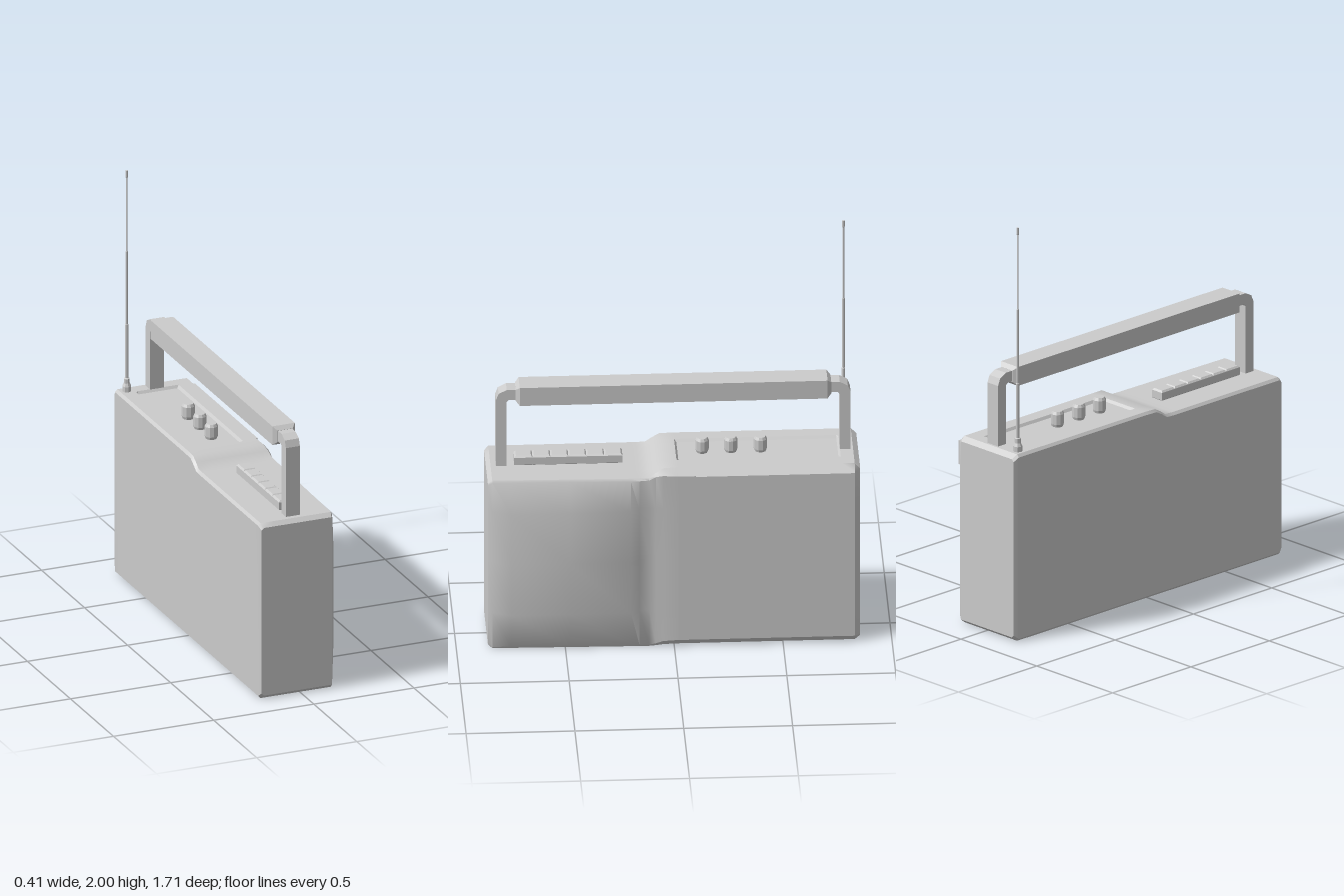
import * as THREE from 'three';
import { toCreasedNormals } from 'three/addons/utils/BufferGeometryUtils.js';

const material = new THREE.MeshStandardMaterial({ color: 0xcccccc });
const flat = new THREE.MeshStandardMaterial({ color: 0xcccccc, flatShading: true });

function add(parent, name, geometry, mat = flat) {
  const mesh = new THREE.Mesh(geometry, mat);
  mesh.name = name;
  parent.add(mesh);
  return mesh;
}

// Skin closed rings of equal length, listed from back to front, and cap both ends
function loft(rings) {
  const pos = [], index = [], n = rings[0].length;
  rings.forEach(r => r.forEach(p => pos.push(...p)));
  for (let i = 0; i < rings.length - 1; i++) {
    for (let j = 0; j < n; j++) {
      const a = i * n + j, b = i * n + (j + 1) % n;
      index.push(a, b, b + n, a, b + n, a + n);
    }
  }
  [0, rings.length - 1].forEach((i, end) => {
    const centre = pos.length / 3;
    const r = rings[i];
    pos.push(...[0, 1, 2].map(k => r.reduce((s, p) => s + p[k], 0) / n));
    for (let j = 0; j < n; j++) {
      const a = i * n + j, b = i * n + (j + 1) % n;
      if (end) index.push(centre, a, b); else index.push(centre, b, a);
    }
  });
  const g = new THREE.BufferGeometry();
  g.setAttribute('position', new THREE.Float32BufferAttribute(pos, 3));
  g.setIndex(index);
  return g;
}

// Case cross-section: e insets the outline, xe/xa/xb are the edge, shoulder
// and middle of the speaker side, d is the depth of the control tray
function caseRing([z, top, xe, xa, xb, c, e = 0, d = 0]) {
  const b = -0.207 + e * 0.5, t = top - e;
  return [
    [b, e + 0.012, z], [b + 0.012, e, z], [xe, e, z],
    [xa, e + c, z], [xb, 0.19, z], [xb, 0.45, z], [xb, 0.71, z], [xa, t - c, z],
    [xe, t, z], [0.085, t, z], [0.075, t - d, z], [-0.12, t - d, z], [-0.13, t, z],
    [b + 0.012, t, z], [b, t - 0.012, z],
  ];
}

// Box whose ends taper in along z
function taperedBar(x, y, w, h, z0, z1, bevel) {
  const ring = (z, s) => [[-1, -1], [1, -1], [1, 1], [-1, 1]]
    .map(([u, v]) => [x + u * (w / 2 - s), y + v * (h / 2 - s), z]);
  return loft([ring(z0, bevel), ring(z0 + bevel, 0), ring(z1 - bevel, 0), ring(z1, bevel)]);
}

export function createModel() {
  const radio = new THREE.Group();
  radio.name = 'portableRadio';

  // Case with sunken control tray and pillowed speaker
  const sections = [
    [-0.855, 0.91, 0.15, 0.152, 0.152, 0.01, 0.02],
    [-0.83, 0.91, 0.152, 0.183, 0.183, 0.033],
    [-0.77, 0.91, 0.152, 0.183, 0.183, 0.033],
    [-0.76, 0.91, 0.152, 0.183, 0.183, 0.033, 0, 0.012],
    [-0.025, 0.91, 0.152, 0.183, 0.183, 0.033, 0, 0.012],
    [-0.015, 0.91, 0.152, 0.183, 0.183, 0.033],
    [0.05, 0.908, 0.156, 0.18, 0.179, 0.028],
    [0.085, 0.888, 0.165, 0.176, 0.173, 0.015],
    [0.115, 0.867, 0.17, 0.176, 0.172, 0.01],
    [0.16, 0.865, 0.17, 0.178, 0.182, 0.01],
    [0.2, 0.865, 0.169, 0.176, 0.204, 0.01],
    [0.48, 0.865, 0.163, 0.17, 0.205, 0.01],
    [0.75, 0.865, 0.157, 0.164, 0.204, 0.01],
    [0.835, 0.865, 0.155, 0.162, 0.168, 0.01],
    [0.855, 0.865, 0.15, 0.152, 0.154, 0.008, 0.018],
  ];
  add(radio, 'case', toCreasedNormals(loft(sections.map(caseRing)), 0.6), material);

  // Tuning dial strip along the upper side
  const dial = add(radio, 'tuningDial', new THREE.BoxGeometry(0.02, 0.115, 0.73));
  dial.position.set(0.182, 0.82, -0.465);

  // Carrying handle: two bent arms and a grip
  const handle = new THREE.Group();
  handle.name = 'handle';
  radio.add(handle);
  for (const s of [1, -1]) {
    const outline = [[0.815, 0.85], [0.815, 1.205], [0.802, 1.238], [0.765, 1.257], [0.69, 1.257],
      [0.69, 1.205], [0.755, 1.205], [0.765, 1.195], [0.765, 0.85]];
    const shape = new THREE.Shape(outline.map(([z, y]) => new THREE.Vector2(s * z, y)));
    const g = new THREE.ExtrudeGeometry(shape, { depth: 0.07, bevelEnabled: false });
    g.rotateY(-Math.PI / 2).translate(0.012, 0, -0.004);
    add(handle, s > 0 ? 'frontArm' : 'backArm', g);
  }
  add(handle, 'grip', taperedBar(-0.023, 1.23, 0.112, 0.092, -0.73, 0.72, 0.018));

  // Row of push keys
  for (let i = 0; i < 6; i++) {
    const key = add(radio, 'pushKey', taperedBar(0, 0, 0.066, 0.085, -0.026, 0.026, 0.008));
    key.rotation.x = -Math.PI / 2;
    key.position.set(-0.023, 0.886, 0.684 - i * 0.0825);
  }

  // Three control knobs
  const knobProfile = [[0, 0], [0.026, 0], [0.031, 0.014], [0.031, 0.062], [0.024, 0.075], [0, 0.075]]
    .map(([r, y]) => new THREE.Vector2(r, y));
  for (const z of [-0.138, -0.27, -0.406]) {
    const knob = add(radio, 'controlKnob', new THREE.LatheGeometry(knobProfile, 10));
    knob.position.set(-0.023, 0.897, z);
  }

  // Telescopic antenna
  const antennaProfile = [[0, 0.9], [0.021, 0.9], [0.021, 0.935], [0.014, 0.95], [0.014, 0.972],
    [0.008, 0.975], [0.008, 1.24], [0.006, 1.242], [0.006, 1.6], [0.0045, 1.602], [0.0045, 1.965],
    [0.006, 1.968], [0.006, 2], [0, 2]].map(([r, y]) => new THREE.Vector2(r, y));
  const antenna = add(radio, 'antenna', new THREE.LatheGeometry(antennaProfile, 8));
  antenna.position.set(-0.163, 0, -0.795);

  return radio;
}
